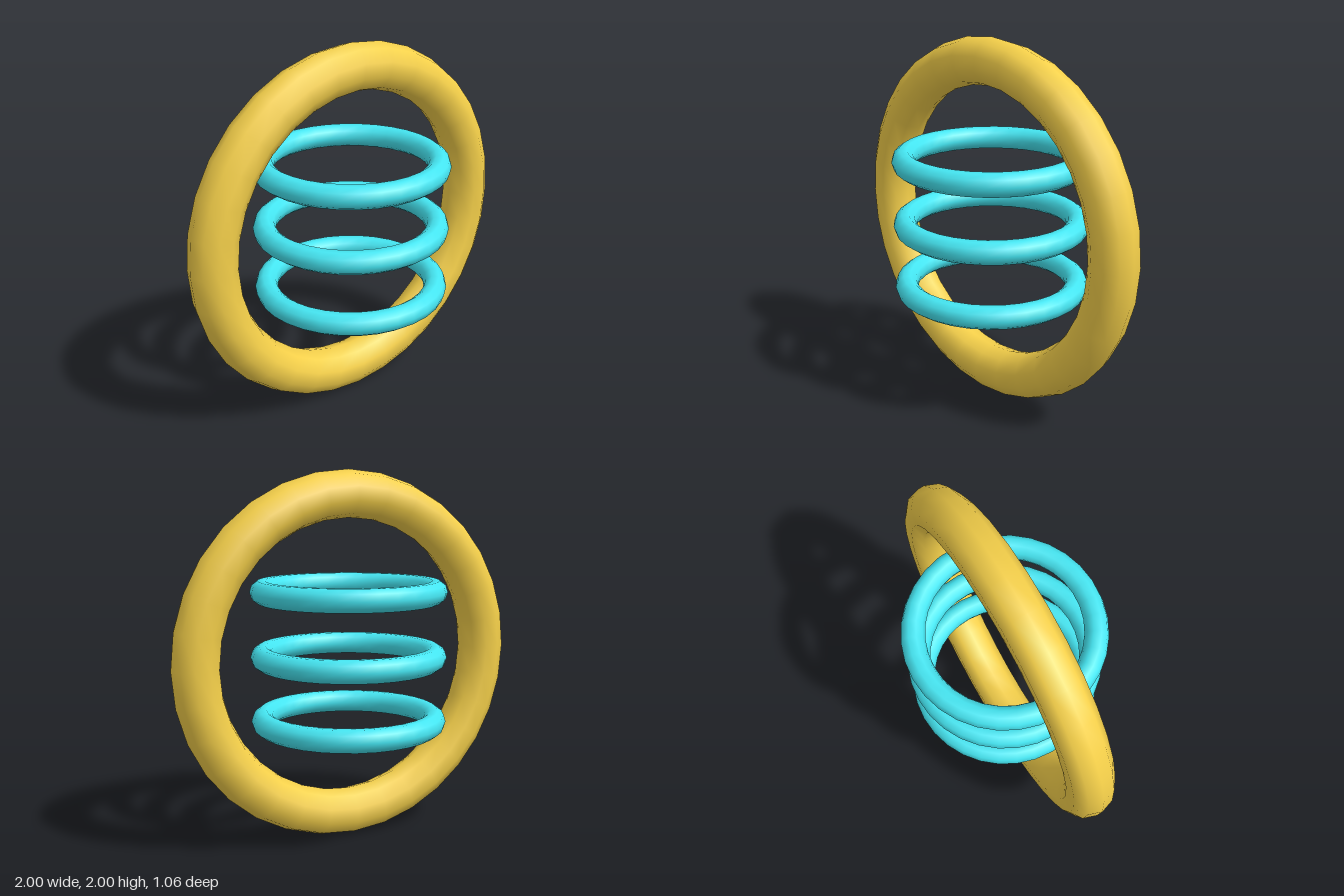
import * as THREE from 'three';

const gold = new THREE.MeshStandardMaterial({ color: 0xf5d04a });
const cyan = new THREE.MeshStandardMaterial({ color: 0x45e6f2 });

function ring(name, radius, tube, material, y) {
  const mesh = new THREE.Mesh(new THREE.TorusGeometry(radius, tube, 10, 32), material);
  mesh.name = name;
  mesh.position.y = y;
  return mesh;
}

export function createModel() {
  const model = new THREE.Group();
  model.name = 'ringSculpture';

  // Large upright ring
  model.add(ring('outerRing', 0.873, 0.127, gold, 1));

  // Stack of three level rings inside it
  const stack = new THREE.Group();
  stack.name = 'innerRings';
  ['lowerRing', 'middleRing', 'upperRing'].forEach((name, i) => {
    const level = ring(name, 0.469, 0.063, cyan, 1 + (i - 1) * 0.354);
    level.rotation.x = Math.PI / 2;
    stack.add(level);
  });
  model.add(stack);

  return model;
}
